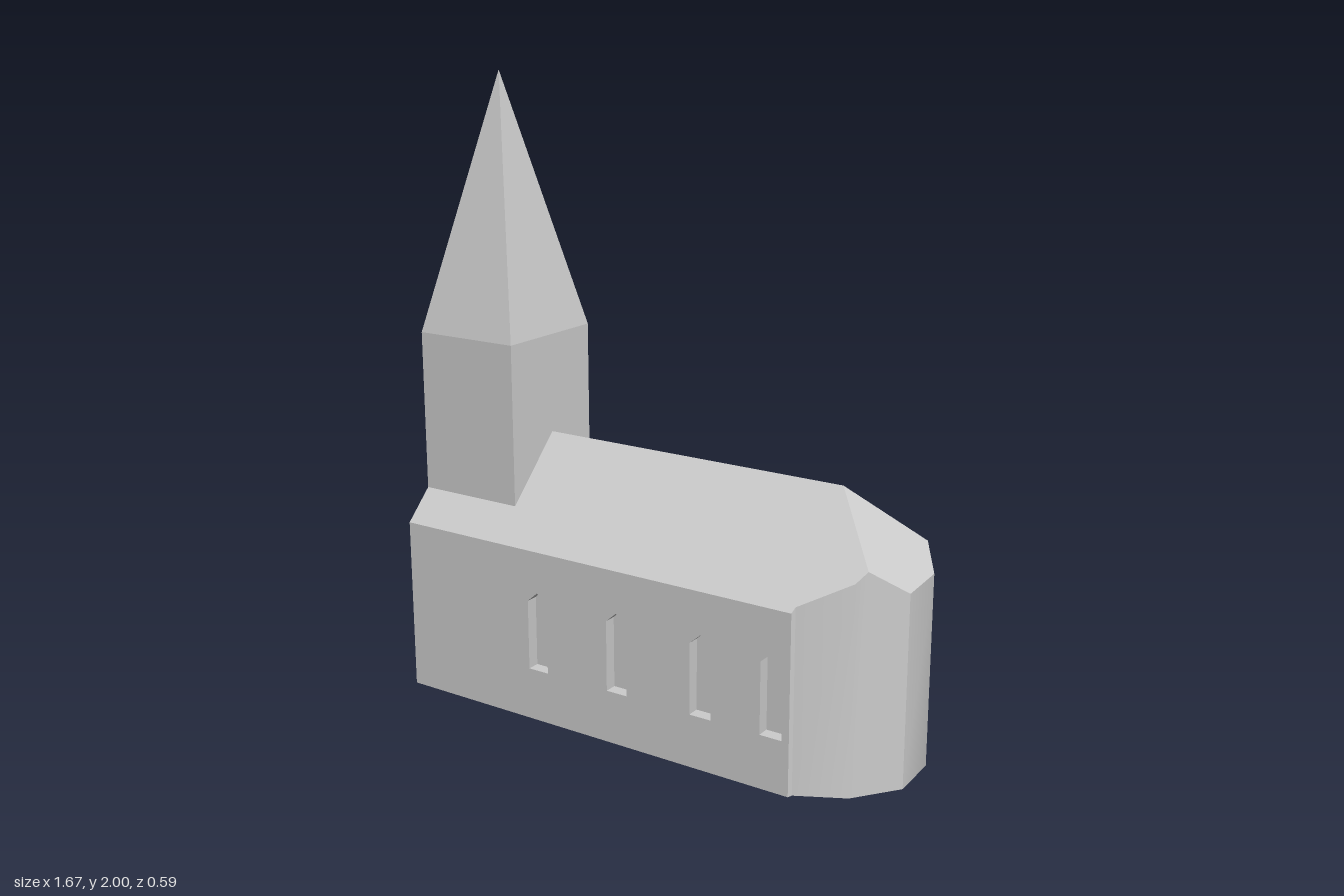
import * as THREE from 'three';
import { mergeGeometries, toCreasedNormals } from 'three/addons/utils/BufferGeometryUtils.js';

const WEST = -0.84, EAST = 0.58, HALF = 0.295, RIDGE = 0.86, EAVES = RIDGE - HALF;
const TOWER_EAST = -0.475, TOWER_HALF = 0.2, TOWER_TOP = 1.18, APEX = 2;
const TOWER_FOOT = RIDGE - TOWER_HALF;
const RECESS = 0.04;

// All roof slopes rise at 45 degrees; the east end is hipped.
const roofY = (x, z) => RIDGE - Math.max(Math.abs(z), x - EAST);

// Plan of the apse [x, z] from back to front; the two hips meet the eaves at HIP_BACK and HIP_FRONT.
const HIP_BACK = 2, HIP_FRONT = 5;
const apse = [
  [EAST, -HALF], [0.735, -0.23], [0.767, -0.187], [0.83, -0.1],
  [0.835, 0.07], [0.754, 0.174], [0.73, 0.205], [0.585, 0.28], [EAST, HALF],
];

const toShape = (pts) => new THREE.Shape(pts.map(([x, y]) => new THREE.Vector2(x, y)));

function plain(geo) {
  const g = geo.index ? geo.toNonIndexed() : geo;
  g.deleteAttribute('uv');
  g.computeVertexNormals();
  return g;
}

// Four-cornered faces, corners counter-clockwise from outside
function quads(list) {
  const pos = [];
  for (const [a, b, c, d] of list) pos.push(...a, ...b, ...c, ...a, ...c, ...d);
  const g = new THREE.BufferGeometry();
  g.setAttribute('position', new THREE.Float32BufferAttribute(pos, 3));
  g.computeVertexNormals();
  return g;
}

// Outline of an opening with a pointed head
const lancet = (x, y0, y1, w, rise) => [
  [x - w / 2, y0], [x + w / 2, y0], [x + w / 2, y1 - rise], [x, y1], [x - w / 2, y1 - rise],
];

// Wall facing +z, with recessed openings
function wall(outline, openings) {
  const shape = toShape(outline);
  const parts = [];
  for (const o of openings) {
    shape.holes.push(new THREE.Path(o.map(([x, y]) => new THREE.Vector2(x, y))));
    parts.push(quads(o.map((a, i) => {
      const b = o[(i + 1) % o.length];
      return [[...a, 0], [...b, 0], [...b, -RECESS], [...a, -RECESS]];
    })));
    parts.push(plain(new THREE.ShapeGeometry(toShape(o)).translate(0, 0, -RECESS)));
  }
  return mergeGeometries([plain(new THREE.ShapeGeometry(shape)), ...parts]);
}

// Roof slope or floor laid out in plan
function slope(pts) {
  const g = new THREE.ShapeGeometry(toShape(pts.map(([x, z]) => [x, -z]))).rotateX(-Math.PI / 2);
  const p = g.attributes.position;
  for (let i = 0; i < p.count; i++) p.setY(i, roofY(p.getX(i), p.getZ(i)));
  return plain(g);
}

export function createModel() {
  const group = new THREE.Group();
  const stone = new THREE.MeshStandardMaterial({ color: 0xcccccc });
  stone.name = 'stone';
  const add = (name, geo) => {
    const mesh = new THREE.Mesh(geo, stone);
    mesh.name = name;
    group.add(mesh);
  };

  // Long walls with lancet windows, joined to the faceted apse
  const side = (w, e) => [[w, 0], [e, 0], [e, EAVES], [w, EAVES]];
  const windows = (xs) => xs.map((x) => lancet(x, 0.17, 0.43, 0.073, 0.032));
  const front = wall(side(WEST, EAST), windows([-0.32, -0.02, 0.28, 0.52])).translate(0, 0, HALF);
  const back = wall(side(-EAST, -WEST), windows([0.32, 0.02, -0.28]))
    .rotateY(Math.PI).translate(0, 0, -HALF);
  const apseWall = quads(apse.slice(1).map(([bx, bz], i) => {
    const [ax, az] = apse[i];
    return [[bx, 0, bz], [ax, 0, az], [ax, roofY(ax, az), az], [bx, roofY(bx, bz), bz]];
  }));
  add('naveAndApseWalls', toCreasedNormals(mergeGeometries([front, back, apseWall]), 0.64));

  // West front: gable shoulders and tower face in one plane, with door and tower windows
  const half = [[HALF, 0], [HALF, EAVES], [TOWER_HALF, TOWER_FOOT], [TOWER_HALF, TOWER_TOP]];
  const facade = [...half, ...half.map(([z, y]) => [-z, y]).reverse()];
  add('westFront', wall(facade, [
    lancet(0, 0.02, 0.2, 0.08, 0.04),
    lancet(0, 0.8, 0.925, 0.065, 0.03),
    lancet(0, 0.98, 1.11, 0.065, 0.03),
  ]).rotateY(-Math.PI / 2).translate(WEST, 0, 0));

  // Remaining tower sides, standing on the roof
  const w = WEST, e = TOWER_EAST, t = TOWER_HALF;
  const corners = [[w, t], [e, t], [e, -t], [w, -t]];
  add('towerWalls', quads([0, 1, 2].map((i) => {
    const [ax, az] = corners[i], [bx, bz] = corners[i + 1];
    return [[ax, TOWER_FOOT, az], [bx, TOWER_FOOT, bz], [bx, TOWER_TOP, bz], [ax, TOWER_TOP, az]];
  })));

  // Four-sided spire
  const height = APEX - TOWER_TOP;
  add('spire', plain(new THREE.ConeGeometry(Math.SQRT1_2, height, 4, 1, true)
    .rotateY(Math.PI / 4).scale(e - w, 1, 2 * t)
    .translate((w + e) / 2, TOWER_TOP + height / 2, 0)));

  // Roof slopes and hip
  const ridge = [[EAST, 0], [WEST, 0]];
  add('roofFront', slope([...apse.slice(HIP_FRONT), [WEST, HALF], ...ridge.slice().reverse()]));
  add('roofBack', slope([[WEST, -HALF], ...apse.slice(0, HIP_BACK + 1), ...ridge]));
  add('roofHip', slope([[EAST, 0], ...apse.slice(HIP_BACK, HIP_FRONT + 1)]));

  // Underside
  add('floor', plain(new THREE.ShapeGeometry(toShape([[WEST, -HALF], ...apse, [WEST, HALF]]))
    .rotateX(Math.PI / 2)));

  return group;
}
